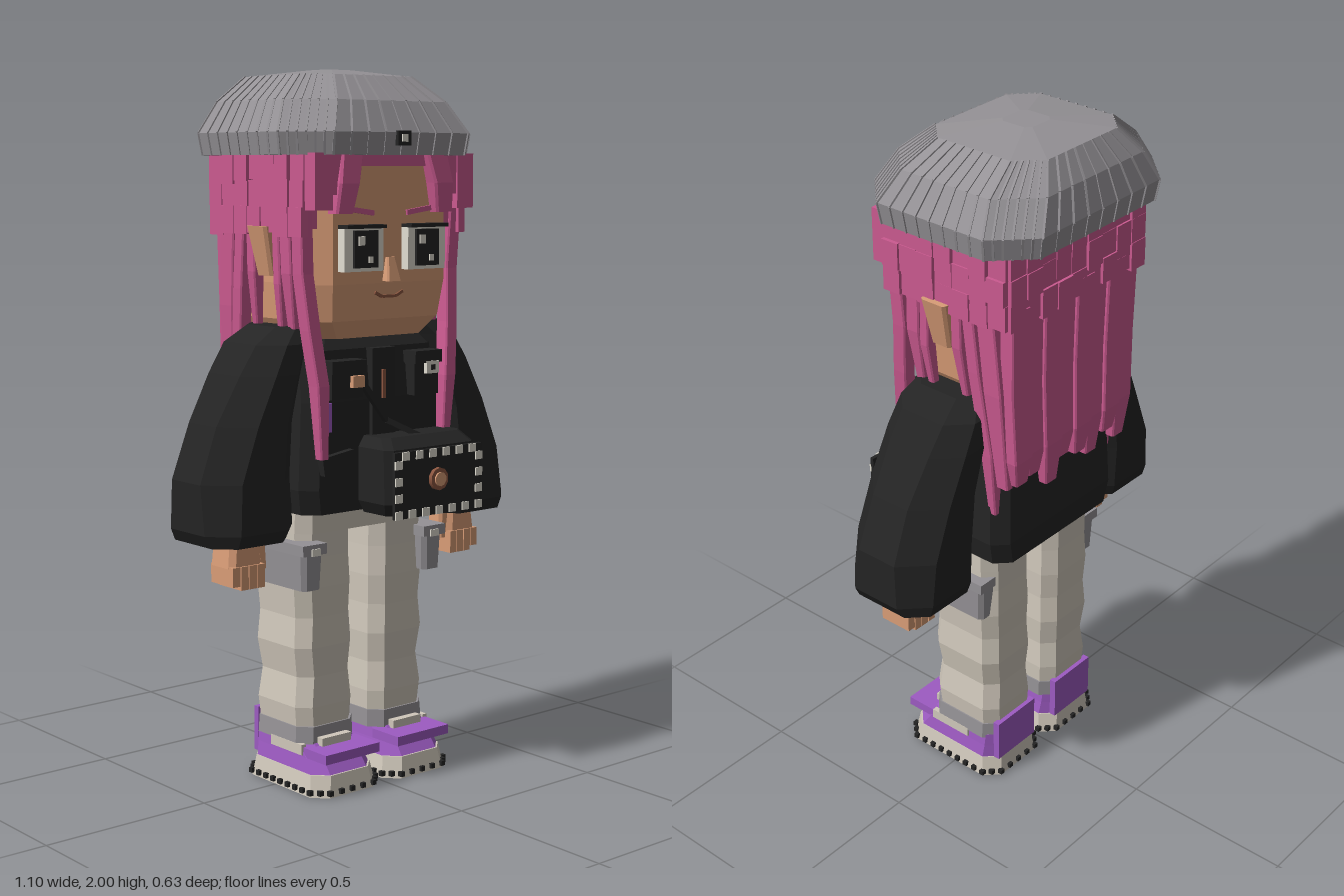
import * as THREE from 'three';
import { mergeGeometries } from 'three/addons/utils/BufferGeometryUtils.js';

const colour = (name, color) => Object.assign(new THREE.MeshStandardMaterial({ color }), { name });

// Octagonal horizontal ring with cut corners, from extents
function ring(y, x0, x1, z0, z1, c) {
  return [[x1 - c, z1], [x1, z1 - c], [x1, z0 + c], [x1 - c, z0],
    [x0 + c, z0], [x0, z0 + c], [x0, z1 - c], [x0 + c, z1]].map(([x, z]) => [x, y, z]);
}

// Flat-shaded closed solid through rings, listed bottom to top
function loft(rings) {
  const p = [], n = rings[0].length;
  for (let k = 0; k + 1 < rings.length; k++) {
    const a = rings[k], b = rings[k + 1];
    for (let i = 0; i < n; i++) {
      const j = (i + 1) % n;
      p.push(...a[i], ...a[j], ...b[j], ...a[i], ...b[j], ...b[i]);
    }
  }
  const lo = rings[0], hi = rings[rings.length - 1];
  for (let i = 1; i + 1 < n; i++) {
    p.push(...lo[0], ...lo[i + 1], ...lo[i], ...hi[0], ...hi[i], ...hi[i + 1]);
  }
  const g = new THREE.BufferGeometry();
  g.setAttribute('position', new THREE.Float32BufferAttribute(p, 3));
  g.computeVertexNormals();
  return g;
}

// Box from extents
const block = (x0, x1, y0, y1, z0, z1) => new THREE.BoxGeometry(x1 - x0, y1 - y0, z1 - z0)
  .translate((x0 + x1) / 2, (y0 + y1) / 2, (z0 + z1) / 2);

// Thin bar between two points
function bar(a, b, w) {
  const A = new THREE.Vector3(...a), B = new THREE.Vector3(...b);
  const o = new THREE.Object3D();
  o.position.copy(A).add(B).multiplyScalar(0.5);
  o.lookAt(B);
  o.updateMatrix();
  return new THREE.BoxGeometry(w, w, A.distanceTo(B)).applyMatrix4(o.matrix);
}

// Hair strand through [x, y, z] centres, bottom to top
const strand = (pts, w, d) => loft(pts.map(([x, y, z], i) => {
  const f = i === 0 ? 0.65 : 1;
  return ring(y, x - w * f / 2, x + w * f / 2, z - d * f / 2, z + d * f / 2, 0.004);
}));

// Same layout for every geometry, so boxes and lofts can be merged
function plain(geo) {
  const g = geo.index ? geo.toNonIndexed() : geo;
  g.deleteAttribute('uv');
  return g;
}

export function createModel() {
  const model = new THREE.Group();
  model.name = 'figure';
  const black = colour('jacket black', 0x242424), pink = colour('hair pink', 0xcb5a90);
  const skin = colour('skin', 0xd99d77), grey = colour('hat grey', 0x959296);
  const beige = colour('trouser beige', 0xd0c8bb), purple = colour('purple', 0x9d5bc2);
  const ivory = colour('ivory', 0xe2ded2), brown = colour('brown', 0x8c5640);
  const add = (name, mat, ...geos) => {
    const m = new THREE.Mesh(mergeGeometries(geos.map(plain)), mat);
    m.name = name;
    model.add(m);
  };
  let seed = 7;
  const rand = () => (seed = (seed * 16807) % 2147483647) / 2147483647;

  // Head and neck
  add('head', skin, loft([ring(1.27, -0.2, 0.2, -0.17, 0.15, 0.05), ring(1.32, -0.23, 0.23, -0.19, 0.18, 0.04),
    ring(1.42, -0.24, 0.24, -0.2, 0.195, 0.04), ring(1.77, -0.24, 0.24, -0.2, 0.195, 0.04)]));
  add('neck', skin, block(-0.1, 0.1, 1.2, 1.29, -0.1, 0.1));
  add('nose', skin, loft([ring(1.425, -0.025, 0.025, 0.18, 0.22, 0.005), ring(1.49, -0.014, 0.014, 0.18, 0.205, 0.004)]));
  const smile = [[-0.05, 1.395], [-0.025, 1.383], [0.025, 1.383], [0.05, 1.395]];
  add('mouth', brown, ...smile.slice(1).map((p, i) => bar([...smile[i], 0.192], [...p, 0.192], 0.008)));

  for (const s of [-1, 1]) {
    const side = s < 0 ? 'right' : 'left';
    const mx = (a, b, ...r) => block(Math.min(s * a, s * b), Math.max(s * a, s * b), ...r);
    const mring = (y, a, b, ...r) => ring(y, Math.min(s * a, s * b), Math.max(s * a, s * b), ...r);

    // Face
    add(side + 'EyeWhite', ivory, mx(0.045, 0.182, 1.455, 1.57, 0.19, 0.222));
    add(side + 'Pupil', black, mx(0.07, 0.152, 1.465, 1.565, 0.222, 0.23));
    add(side + 'EyeGlints', ivory, block(s * 0.11 - 0.03, s * 0.11 - 0.01, 1.525, 1.55, 0.23, 0.234),
      block(s * 0.11 + 0.005, s * 0.11 + 0.02, 1.478, 1.495, 0.23, 0.234));
    add(side + 'Lashes', black, mx(0.045, 0.182, 1.57, 1.58, 0.19, 0.236));
    add(side + 'Eyebrow', pink, bar([s * 0.06, 1.61, 0.195], [s * 0.15, 1.622, 0.195], 0.014));
    add(side + 'Ear', skin, loft([mring(1.44, 0.23, 0.28, -0.035, 0.03, 0.008),
      mring(1.575, 0.23, 0.31, -0.045, 0.04, 0.008)]));

    // Fringe and side hair
    add(side + 'Fringe', pink, mx(0.225, 0.285, 1.62, 1.77, 0.16, 0.225), mx(0.19, 0.225, 1.66, 1.77, 0.17, 0.22),
      loft([mring(1.61, 0.15, 0.21, 0.18, 0.225, 0.006), mring(1.69, 0.135, 0.205, 0.18, 0.235, 0.006),
        mring(1.77, 0.115, 0.19, 0.17, 0.225, 0.006)]));
    add(side + 'FrontStrand', pink, strand([[s * 0.222, 0.95, 0.175], [s * 0.232, 1.15, 0.175], [s * 0.25, 1.3, 0.16],
      [s * 0.262, 1.45, 0.145], [s * 0.27, 1.62, 0.15]], 0.042, 0.045));
    add(side + 'SideStrands', pink,
      strand([[s * 0.25, 1.3, 0.09], [s * 0.265, 1.45, 0.095], [s * 0.268, 1.6, 0.09]], 0.035, 0.045),
      strand([[s * 0.25, 1.27, 0.045], [s * 0.265, 1.42, 0.055], [s * 0.268, 1.6, 0.05]], 0.035, 0.03),
      strand([[s * 0.25, 1.3, -0.07], [s * 0.265, 1.45, -0.06], [s * 0.268, 1.6, -0.06]], 0.035, 0.035),
      strand([[s * 0.24, 0.96, -0.155], [s * 0.25, 1.15, -0.15], [s * 0.265, 1.4, -0.12], [s * 0.27, 1.6, -0.1]], 0.04, 0.04),
      strand([[s * 0.245, 1.06, -0.195], [s * 0.26, 1.35, -0.18], [s * 0.268, 1.6, -0.16]], 0.04, 0.06));

    // Puffy sleeve
    add(side + 'Sleeve', black, loft([
      mring(0.73, 0.28, 0.53, -0.13, 0.14, 0.05), mring(0.765, 0.255, 0.55, -0.14, 0.155, 0.07),
      mring(0.9, 0.245, 0.548, -0.145, 0.145, 0.08), mring(1.05, 0.23, 0.49, -0.145, 0.14, 0.08),
      mring(1.18, 0.2, 0.415, -0.145, 0.135, 0.07), mring(1.26, 0.18, 0.36, -0.14, 0.125, 0.06),
      mring(1.305, 0.16, 0.29, -0.105, 0.1, 0.04)]));

    // Hand with fingers and thumb
    add(side + 'Palm', skin, loft([mring(0.66, 0.345, 0.455, -0.03, 0.075, 0.015), mring(0.75, 0.35, 0.445, -0.03, 0.07, 0.015)]));
    add(side + 'Fingers', skin, ...[0, 1, 2, 3].map(i =>
      mx(0.346 + i * 0.0275, 0.371 + i * 0.0275, i === 3 ? 0.612 : 0.6, 0.665, -0.02, 0.08)));
    add(side + 'Thumb', skin, loft([mring(0.645, 0.32, 0.35, 0.01, 0.06, 0.008), mring(0.72, 0.325, 0.36, 0.01, 0.06, 0.008)]));

    // Trouser leg with soft folds, cuff and thigh pouch
    const folds = [0, 0.008, -0.004, 0.008, 0, 0.006, 0, 0];
    add(side + 'TrouserLeg', beige, loft(folds.map((f, i) => mring(0.15 + i * 0.085, 0.035 + i * 0.0005 - f / 2,
      0.225 + f + i * 0.001, -0.13 - f / 2, 0.1 + f / 2, 0.035))));
    add(side + 'Cuff', grey, loft([mring(0.13, 0.028, 0.236, -0.132, 0.108, 0.035), mring(0.18, 0.03, 0.232, -0.132, 0.106, 0.035)]));
    add(side + 'Pouch', grey, loft([mring(0.58, 0.19, 0.255, -0.115, 0.135, 0.012), mring(0.7, 0.185, 0.26, -0.12, 0.14, 0.012)]));
    add(side + 'PouchFlap', grey, mx(0.18, 0.264, 0.68, 0.71, -0.124, 0.145));
    add(side + 'PouchButton', ivory, mx(0.205, 0.235, 0.678, 0.698, 0.145, 0.149));

    // Shoe
    add(side + 'Sole', beige, loft([mring(0, 0.014, 0.25, -0.15, 0.195, 0.04), mring(0.06, 0.025, 0.24, -0.142, 0.185, 0.04)]));
    add(side + 'ShoeUpper', purple, loft([mring(0.06, 0.027, 0.238, -0.14, 0.18, 0.04),
      mring(0.1, 0.035, 0.232, -0.138, 0.15, 0.035), mring(0.14, 0.04, 0.228, -0.135, 0.1, 0.03)]));
    add(side + 'ShoeStrap', purple, mx(0.035, 0.23, 0.1, 0.127, 0.09, 0.2));
    add(side + 'HeelTab', purple, mx(0.05, 0.215, 0.06, 0.19, -0.145, -0.125));
    add(side + 'Tongue', beige, mx(0.08, 0.185, 0.127, 0.15, 0.09, 0.13));
    add(side + 'AnklePatch', beige, mx(0.22, 0.236, 0.105, 0.135, -0.04, 0.1));
    const studs = [], outline = mring(0.014, 0.014, 0.25, -0.15, 0.195, 0.04);
    outline.forEach((a, i) => {
      const b = outline[(i + 1) % 8], n = Math.max(1, Math.round(Math.hypot(b[0] - a[0], b[2] - a[2]) / 0.035));
      for (let k = 0; k < n; k++) {
        studs.push(new THREE.BoxGeometry(0.014, 0.014, 0.014)
          .translate(a[0] + (b[0] - a[0]) * k / n, 0.014, a[2] + (b[2] - a[2]) * k / n));
      }
    });
    add(side + 'SoleStuds', black, ...studs);
  }

  // Crown of hair: core covered with uneven blocks in three tiers
  add('hairCore', pink, block(-0.265, 0.265, 1.57, 1.77, -0.225, 0.165));
  add('hairline', pink, block(-0.2, 0.2, 1.735, 1.77, 0.16, 0.205));
  const bricks = [];
  for (let t = 0; t < 3; t++) {
    const y0 = 1.56 + t * 0.07, y1 = y0 + 0.068;
    for (let i = 0; i < 7; i++) {
      for (const s of [-1, 1]) {
        const z = -0.235 + i * 0.06, x = s * (0.275 + rand() * 0.012), dy = rand() * 0.015;
        bricks.push(block(x - 0.012, x + 0.012, y0 - dy, y1, z, z + 0.057));
      }
    }
    for (let i = 0; i < 9; i++) {
      const x = -0.28 + i * 0.0623, z = -0.228 - rand() * 0.01, dy = rand() * 0.015;
      bricks.push(block(x, x + 0.06, y0 - dy, y1, z - 0.012, z + 0.012));
    }
  }
  add('hairBlocks', pink, ...bricks);

  // Long back hair
  const back = [];
  for (let i = 0; i < 8; i++) {
    const x = -0.235 + i * 0.067, dz = (i % 2) * 0.01;
    back.push(strand([[x * 0.93, 1.02 + rand() * 0.06, -0.21 - dz], [x * 0.95, 1.15, -0.213 - dz],
      [x * 0.98, 1.35, -0.208 - dz], [x, 1.6, -0.212 - dz]], 0.072, 0.045));
  }
  add('backHair', pink, ...back);

  // Ribbed hat
  const hat = [ring(1.765, -0.335, 0.335, -0.305, 0.24, 0.1), ring(1.825, -0.345, 0.345, -0.315, 0.25, 0.105),
    ring(1.91, -0.295, 0.295, -0.29, 0.205, 0.1), ring(1.98, -0.205, 0.205, -0.245, 0.125, 0.065),
    ring(2, -0.05, 0.05, -0.11, -0.01, 0.015)];
  add('hat', grey, loft(hat));
  const ribs = [], at = (k, i, t) => hat[k][i].map((v, c) => v + (hat[k][(i + 1) % 8][c] - v) * t);
  for (let i = 0; i < 8; i++) {
    const n = i % 2 ? 8 : 6;
    for (let j = 0; j < n; j++) {
      for (let k = 0; k < 3; k++) ribs.push(bar(at(k, i, j / n), at(k + 1, i, j / n), 0.006));
    }
  }
  add('hatRibs', grey, ...ribs);
  add('hatPin', black, block(-0.024, 0.024, 1.79, 1.83, 0.245, 0.257));
  add('hatPinCentre', ivory, block(-0.01, 0.01, 1.8, 1.82, 0.257, 0.26));

  // Jacket body, pockets and zip
  add('jacket', black, loft([ring(0.79, -0.245, 0.245, -0.19, 0.15, 0.04), ring(0.86, -0.26, 0.26, -0.195, 0.16, 0.04),
    ring(1.1, -0.25, 0.25, -0.185, 0.16, 0.04), ring(1.24, -0.24, 0.24, -0.165, 0.145, 0.05),
    ring(1.3, -0.19, 0.19, -0.13, 0.1, 0.04)]));
  add('zipPanel', black, block(-0.04, 0.045, 0.98, 1.24, 0.14, 0.172));
  add('zipPull', brown, block(-0.006, 0.006, 1.1, 1.18, 0.172, 0.177));
  add('chestPockets', black, block(-0.2, -0.09, 1.11, 1.21, 0.14, 0.19), block(0.1, 0.19, 1.1, 1.22, 0.14, 0.19));
  add('pocketFlaps', black, block(-0.205, -0.085, 1.18, 1.215, 0.14, 0.2), block(0.095, 0.195, 1.19, 1.225, 0.14, 0.2));
  add('pocketTag', skin, block(-0.135, -0.095, 1.14, 1.172, 0.19, 0.204));
  add('pocketBadge', ivory, block(0.135, 0.18, 1.16, 1.195, 0.19, 0.203));
  add('badgeCentre', black, block(0.15, 0.165, 1.17, 1.185, 0.203, 0.206));
  add('purpleTag', purple, block(-0.208, -0.185, 1.02, 1.1, 0.15, 0.172));
  add('waistPocket', black, new THREE.BoxGeometry(0.11, 0.05, 0.03).rotateZ(0.15).translate(-0.165, 0.935, 0.165));

  // Trouser hips
  add('trouserHips', beige, loft([ring(0.73, -0.235, 0.235, -0.132, 0.105, 0.035), ring(0.84, -0.235, 0.235, -0.132, 0.11, 0.035)]));

  // Bag with strap, checked border and round badge
  add('bag', black, loft([ring(0.785, -0.06, 0.23, 0.14, 0.27, 0.02), ring(0.82, -0.08, 0.25, 0.14, 0.29, 0.02),
    ring(0.97, -0.08, 0.25, 0.14, 0.285, 0.02), ring(1, -0.06, 0.23, 0.14, 0.25, 0.02)]));
  add('bagFront', black, block(-0.065, 0.26, 0.78, 0.965, 0.285, 0.296));
  add('bagStrap', black, bar([-0.1, 1.16, 0.19], [0, 1.04, 0.185], 0.016), bar([0, 1.04, 0.185], [0.13, 0.97, 0.24], 0.016));
  const checks = [], nx = 13, ny = 8, cw = 0.325 / nx, ch = 0.185 / ny;
  for (let i = 0; i < nx; i++) {
    for (let j = 0; j < ny; j++) {
      const edge = i === 0 || j === 0 || i === nx - 1 || j === ny - 1;
      if (edge && (i + j) % 2 === 0) {
        checks.push(block(-0.065 + i * cw, -0.065 + (i + 1) * cw, 0.78 + j * ch, 0.78 + (j + 1) * ch, 0.294, 0.3));
      }
    }
  }
  add('checkedBorder', ivory, ...checks);
  add('bagBadge', brown, new THREE.CylinderGeometry(0.032, 0.032, 0.012, 10).rotateX(Math.PI / 2).translate(0.09, 0.88, 0.302));
  add('bagBadgeCentre', skin, new THREE.CylinderGeometry(0.02, 0.02, 0.006, 10).rotateX(Math.PI / 2).translate(0.09, 0.88, 0.31));
  return model;
}
